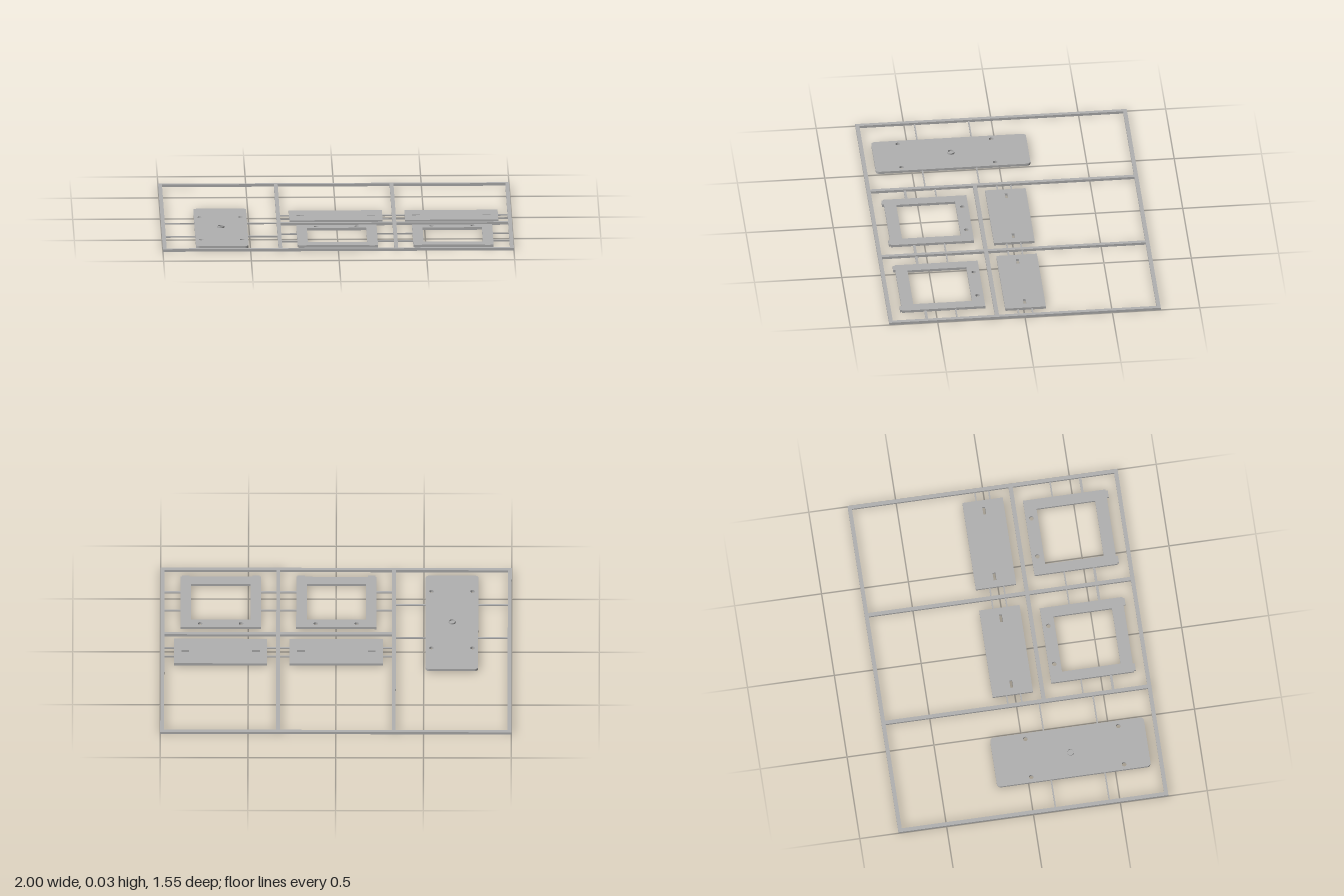
import * as THREE from 'three';

const H = 0.015; // common thickness of frame and parts
const BAR = 0.022; // frame bar width
const STEP = 0.659; // distance between repeated parts

export function createModel() {
  const model = new THREE.Group();
  model.name = 'partsSheet';
  const grey = new THREE.MeshStandardMaterial({ color: 0xb0b0b0 });
  grey.name = 'plastic grey';

  const add = (name, geometry, parent = model) => {
    const mesh = new THREE.Mesh(geometry, grey);
    mesh.name = name;
    parent.add(mesh);
    return mesh;
  };

  // Box given by its extents on the ground plane
  const bar = (name, x0, x1, z0, z1, h = H, parent = model) =>
    add(name, new THREE.BoxGeometry(x1 - x0, h, z1 - z0), parent)
      .position.set((x0 + x1) / 2, h / 2, (z0 + z1) / 2);

  // Outlines are drawn in x and -z, then laid flat
  const rect = (path, x0, x1, z0, z1) => path
    .moveTo(x0, -z1).lineTo(x1, -z1).lineTo(x1, -z0).lineTo(x0, -z0).closePath();
  const rectHole = (...extents) => rect(new THREE.Path(), ...extents);
  const roundHole = (x, z, r) => new THREE.Path().absarc(x, -z, r, 0, Math.PI * 2, true);
  const flat = (shape, holes, depth = H) => {
    shape.holes.push(...holes);
    return new THREE.ExtrudeGeometry(shape, { depth, bevelEnabled: false, curveSegments: 12 })
      .rotateX(-Math.PI / 2);
  };

  // Outer frame and dividers
  const Z = 0.777;
  for (const s of [-1, 1]) {
    bar('frameRail', -1, 1, s * (Z - BAR / 2) - BAR / 2, s * (Z - BAR / 2) + BAR / 2);
    bar('frameSide', s * (1 - BAR / 2) - BAR / 2, s * (1 - BAR / 2) + BAR / 2, -Z + BAR, Z - BAR);
    bar('divider', s * 0.33 - BAR / 2, s * 0.33 + BAR / 2, -Z + BAR, Z - BAR);
  }
  bar('crossDivider', -0.319, 0.319, 0.147, 0.17);
  bar('crossDivider', 0.341, 0.978, 0.147, 0.17);

  // Long plate with rounded corners and four holes
  const [px0, px1, pz0, pz1, r] = [-0.81, -0.51, -0.18, 0.705, 0.022];
  const plate = new THREE.Shape();
  plate.absarc(px1 - r, -pz0 - r, r, 0, Math.PI / 2);
  plate.absarc(px0 + r, -pz0 - r, r, Math.PI / 2, Math.PI);
  plate.absarc(px0 + r, -pz1 + r, r, Math.PI, Math.PI * 1.5);
  plate.absarc(px1 - r, -pz1 + r, r, Math.PI * 1.5, Math.PI * 2);
  plate.closePath();
  const plateHoles = [];
  for (const x of [-0.778, -0.544]) for (const z of [0.02, 0.555]) plateHoles.push(roundHole(x, z, 0.013));
  add('longPlate', flat(plate, plateHoles));

  // Raised ring on the long plate
  const ring = new THREE.Shape().absarc(-0.661, -0.263, 0.021, 0, Math.PI * 2);
  add('raisedRing', flat(ring, [roundHole(-0.661, 0.263, 0.016)], 0.01)).position.y = H;

  // Thin runners holding the long plate
  for (const z of [0.13, 0.44]) {
    bar('plateRunner', -0.978, px0, z - 0.004, z + 0.004, 0.008);
    bar('plateRunner', px1, -0.341, z - 0.004, z + 0.004, 0.008);
  }

  // Two equal sets: slotted panel above, window frame below
  for (const offset of [0, STEP]) {
    const set = new THREE.Group();
    set.name = 'panelSet';
    set.position.x = offset;
    model.add(set);

    const panel = rect(new THREE.Shape(), -0.267, 0.264, -0.127, 0.105);
    add('slottedPanel', flat(panel, [
      rectHole(-0.226, -0.181, -0.019, -0.003),
      rectHole(0.177, 0.222, -0.019, -0.003),
    ]), set);

    const window = rect(new THREE.Shape(), -0.23, 0.227, 0.216, 0.692);
    add('windowFrame', flat(window, [
      rectHole(-0.171, 0.167, 0.286, 0.623),
      roundHole(-0.118, 0.249, 0.013),
      roundHole(0.115, 0.249, 0.013),
    ]), set);
    for (const x of [-0.202, 0.199]) bar('windowFoot', x - 0.021, x + 0.021, 0.692, 0.703, H, set);

    // Runners: z position, width, left and right edge of the held part
    for (const [z, w, x0, x1] of [
      [-0.047, 0.008, -0.267, 0.264], [0.033, 0.008, -0.267, 0.264],
      [0.386, 0.008, -0.23, 0.227], [0.559, 0.014, -0.23, 0.227],
    ]) {
      bar('runner', -0.319, x0, z - w / 2, z + w / 2, 0.008, set);
      bar('runner', x1, 0.319, z - w / 2, z + w / 2, 0.008, set);
    }
  }
  return model;
}
